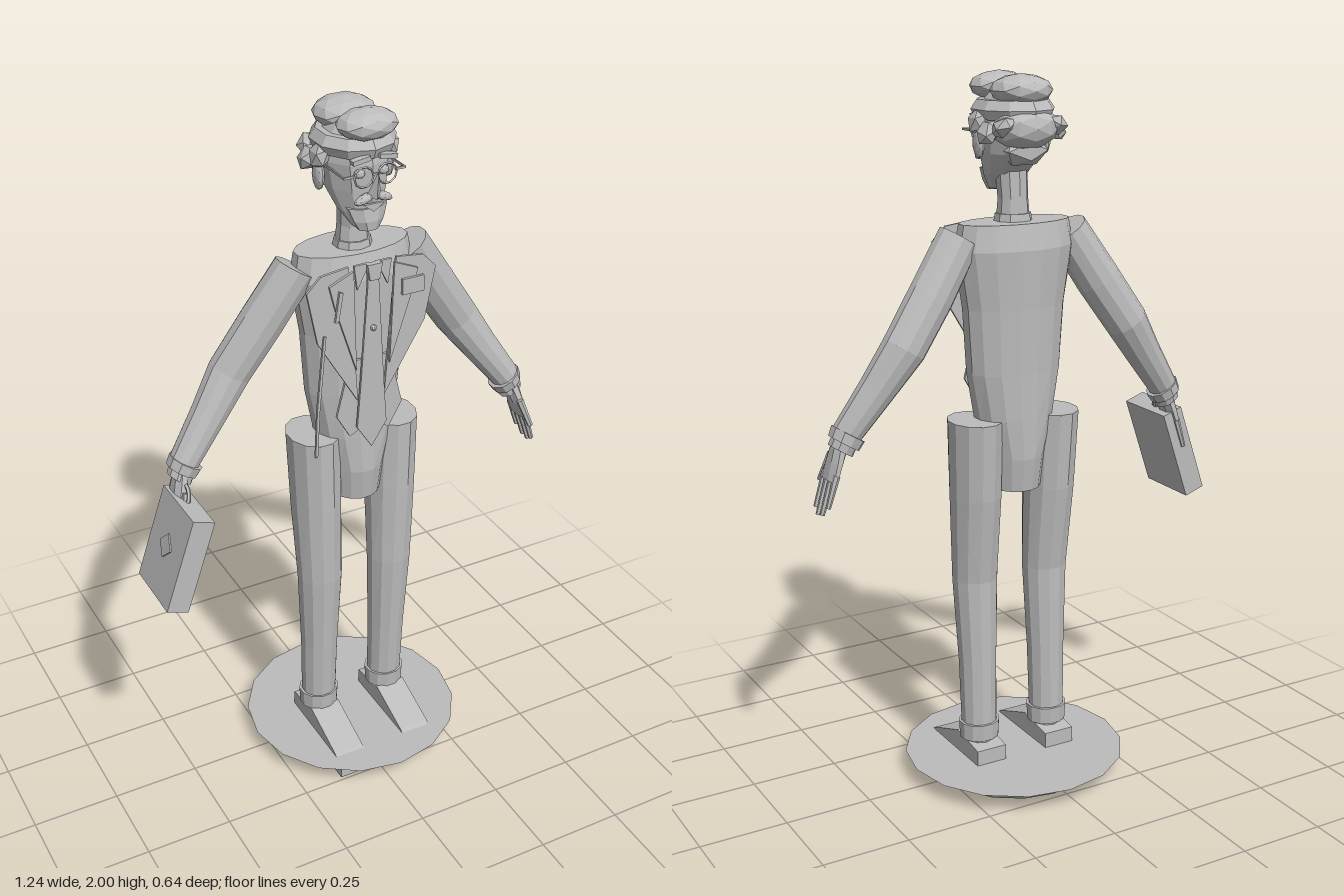
import * as THREE from 'three';

const CX = 0.03; // the figure's own centre line

export function createModel() {
  const root = new THREE.Group();
  const grey = new THREE.MeshStandardMaterial({ color: 0xbcbcbc, flatShading: true });

  function add(name, geo, parent = root, x = 0, y = 0, z = 0) {
    const m = new THREE.Mesh(geo, grey);
    m.name = name;
    m.position.set(x, y, z);
    parent.add(m);
    return m;
  }

  // Closed solid through elliptical rings [x, y, z, rx, rz], listed bottom to top
  function loft(rings, n, tilt = 0) {
    const pos = [], idx = [], c = Math.cos(tilt), s = Math.sin(tilt);
    for (const [x, y, z, rx, rz] of rings) {
      for (let i = 0; i < n; i++) {
        const a = ((i + 0.5) / n) * Math.PI * 2, u = Math.cos(a) * rx;
        pos.push(x + u * c, y + u * s, z + Math.sin(a) * rz);
      }
    }
    const top = (rings.length - 1) * n, cb = rings.length * n;
    pos.push(...rings[0].slice(0, 3), ...rings[rings.length - 1].slice(0, 3));
    for (let i = 0; i < n; i++) {
      const j = (i + 1) % n;
      for (let r = 0; r < top; r += n) idx.push(r + i, r + n + i, r + j, r + n + i, r + n + j, r + j);
      idx.push(cb, i, j, cb + 1, top + j, top + i);
    }
    const g = new THREE.BufferGeometry();
    g.setAttribute('position', new THREE.Float32BufferAttribute(pos, 3));
    g.setIndex(idx);
    g.computeVertexNormals();
    return g;
  }

  // Thin plate facing front; points are relative to the centre line, s mirrors them
  function plate(name, pts, z, s = 1, depth = 0.008) {
    const shape = new THREE.Shape(pts.map(([x, y]) => new THREE.Vector2(CX + s * x, y)));
    return add(name, new THREE.ExtrudeGeometry(shape, { depth, bevelEnabled: false }), root, 0, 0, z);
  }

  function blob(name, x, y, z, rx, ry, rz, detail = 1) {
    const m = add(name, new THREE.IcosahedronGeometry(1, detail), root, CX + x, y, z);
    m.scale.set(rx, ry, rz);
    return m;
  }

  // Base dish
  add('base', new THREE.LatheGeometry([[0, 0], [0.23, 0], [0.25, 0.02], [0.32, 0.055], [0, 0.055]]
    .map(p => new THREE.Vector2(...p)), 16), root, CX);

  // Torso, neck
  add('torso', loft([
    [CX, 0.865, 0.005, 0.075, 0.085], [CX, 0.96, 0.005, 0.085, 0.098], [CX, 1.07, 0.003, 0.115, 0.095],
    [CX, 1.2, 0, 0.14, 0.09], [CX, 1.38, -0.002, 0.152, 0.092], [CX, 1.54, -0.005, 0.178, 0.097],
    [CX, 1.61, -0.007, 0.165, 0.08]], 16));
  add('neck', loft([[CX, 1.58, 0, 0.05, 0.045], [CX, 1.67, 0, 0.042, 0.04], [CX, 1.76, 0.01, 0.045, 0.045]], 10));
  add('collar', loft([[CX, 1.6, 0, 0.055, 0.052], [CX, 1.63, 0, 0.05, 0.047]], 10));

  const shoeShape = new THREE.Shape([[-0.07, 0], [0.24, 0], [0.24, 0.03], [0.2, 0.062], [0.05, 0.118], [-0.07, 0.1]]
    .map(p => new THREE.Vector2(...p)));
  const sleeveTilt = 0.56;

  for (const s of [-1, 1]) {
    const side = s > 0 ? 'left' : 'right';
    const X = d => CX + s * d;

    // Leg, turn-up, sock and shoe
    add(side + 'Leg', loft([[X(0.113), 0.14, 0.005, 0.052, 0.05], [X(0.113), 0.35, 0.012, 0.055, 0.056],
      [X(0.114), 0.6, 0.022, 0.066, 0.063], [X(0.118), 0.85, 0.008, 0.072, 0.082],
      [X(0.122), 1.07, 0, 0.074, 0.09]], 12));
    add(side + 'Cuff', loft([[X(0.113), 0.115, 0.005, 0.058, 0.054], [X(0.113), 0.165, 0.005, 0.06, 0.057]], 12));
    add(side + 'Sock', new THREE.CylinderGeometry(0.043, 0.043, 0.06, 10), root, X(0.113), 0.1, 0.005);
    const shoe = new THREE.ExtrudeGeometry(shoeShape, { depth: 0.092, bevelEnabled: false });
    shoe.rotateY(-Math.PI / 2);
    add(side + 'Shoe', shoe, root, X(0.113) + 0.046, 0, 0);

    // Sleeve, wrist bands
    const t = s * sleeveTilt;
    add(side + 'Sleeve', loft([[X(0.508), 1.08, 0, 0.042, 0.04], [X(0.42), 1.2, -0.018, 0.052, 0.047],
      [X(0.35), 1.3, -0.033, 0.062, 0.054], [X(0.26), 1.43, -0.02, 0.064, 0.056],
      [X(0.165), 1.575, -0.002, 0.06, 0.057]], 12, t));
    add(side + 'WristBand', loft([[X(0.514), 1.06, 0, 0.046, 0.045], [X(0.5), 1.085, 0, 0.05, 0.048]], 10, t));
    add(side + 'ShirtCuff', loft([[X(0.523), 1.04, 0.003, 0.037, 0.037], [X(0.512), 1.065, 0, 0.037, 0.038]], 10, t));

    // Hand with four fingers and a thumb
    const hand = new THREE.Group();
    hand.name = side + 'Hand';
    hand.position.set(X(0.52), 1.055, 0.01);
    hand.rotation.z = s * 0.31;
    root.add(hand);
    add('palm', loft([[0, -0.1, 0.008, 0.014, 0.046], [0, -0.05, 0.006, 0.018, 0.042], [0, 0.01, 0, 0.022, 0.028]], 8), hand);
    [0.17, 0.195, 0.2, 0.185].forEach((len, i) => {
      const finger = new THREE.CylinderGeometry(0.01, 0.007, len - 0.08, 6);
      add('finger', finger, hand, 0, -(len + 0.08) / 2, -0.028 + i * 0.024);
    });
    const thumb = add('thumb', new THREE.CylinderGeometry(0.011, 0.008, 0.085, 6), hand, -s * 0.005, -0.075, 0.06);
    thumb.rotation.x = -0.3;

    // Lapels
    plate(side + 'Lapel', [[0.07, 1.6], [0.15, 1.59], [0.19, 1.55], [0.16, 1.4], [0.04, 1.2], [0.055, 1.4]], 0.104, s);
    plate(side + 'LapelNotch', [[0.06, 1.59], [0.13, 1.56], [0.115, 1.5], [0.05, 1.3]], 0.114, s);
    plate(side + 'WaistcoatPoint', [[0, 1.32], [0.06, 1.32], [0.1, 1.16], [0.06, 1.09], [0, 1.12]], 0.096, s);
    plate(side + 'ShirtCollar', [[0.01, 1.6], [0.055, 1.6], [0.045, 1.53]], 0.106, s);

    // Ears, spectacles, brows
    blob(side + 'Ear', s * 0.1, 1.82, 0.005, 0.014, 0.042, 0.025);
    blob(side + 'Eye', s * 0.034, 1.842, 0.1, 0.015, 0.012, 0.012);
    add(side + 'LensRim', new THREE.TorusGeometry(0.027, 0.003, 4, 10), root, X(0.033), 1.84, 0.122);
    add(side + 'SpectacleArm', new THREE.BoxGeometry(0.004, 0.006, 0.11), root, X(0.086), 1.845, 0.06);
    add(side + 'SpectacleHinge', new THREE.BoxGeometry(0.03, 0.006, 0.005), root, X(0.073), 1.845, 0.117);
    add(side + 'Brow', new THREE.BoxGeometry(0.05, 0.012, 0.02), root, X(0.038), 1.883, 0.112).rotation.z = -s * 0.15;
    const whisker = blob(side + 'Moustache', s * 0.026, 1.778, 0.112, 0.03, 0.012, 0.014);
    whisker.rotation.z = -s * 0.35;

    // Side hair tufts
    [[0.098, 1.875, 0.01], [0.1, 1.85, -0.045], [0.075, 1.865, -0.085]].forEach(([x, y, z], i) => {
      const tuft = blob(side + 'HairTuft', s * x, y, z, 0.026, 0.04, 0.038, 0);
      tuft.rotation.set(i * 0.8, s * i * 0.6, s * 0.4);
    });
  }

  // Tie, pocket patch, pen, button and hanging strap
  plate('tie', [[-0.02, 1.6], [0.02, 1.6], [0.016, 1.55], [0.035, 1.25], [0.045, 1.12], [0, 1.05],
    [-0.045, 1.12], [-0.035, 1.25], [-0.016, 1.55]], 0.11);
  plate('tieKnot', [[-0.022, 1.6], [0.022, 1.6], [0.014, 1.555], [-0.014, 1.555]], 0.118);
  plate('pocketPatch', [[0.08, 1.495], [0.145, 1.495], [0.145, 1.54], [0.08, 1.54]], 0.123);
  plate('pen', [[-0.118, 1.46], [-0.108, 1.46], [-0.095, 1.54], [-0.105, 1.545]], 0.123);
  add('button', new THREE.SphereGeometry(0.009, 8, 6), root, CX, 1.415, 0.12);
  plate('strap', [[-0.145, 1.42], [-0.138, 1.42], [-0.158, 1.2], [-0.165, 1.06], [-0.172, 1.06], [-0.166, 1.2]], 0.11);

  // Head, nose, mouth and beard
  add('head', loft([[CX, 1.69, 0.065, 0.035, 0.03], [CX, 1.73, 0.04, 0.06, 0.062], [CX, 1.79, 0.01, 0.082, 0.097],
    [CX, 1.86, 0, 0.092, 0.108], [CX, 1.92, 0, 0.085, 0.095], [CX, 1.96, 0, 0.05, 0.06]], 10));
  const nose = add('nose', new THREE.ConeGeometry(0.021, 0.075, 4), root, CX, 1.82, 0.125);
  nose.rotation.x = 0.35;
  add('spectacleBridge', new THREE.BoxGeometry(0.02, 0.005, 0.005), root, CX, 1.845, 0.124);
  plate('mouth', [[-0.03, 1.762], [0.03, 1.762], [0, 1.74]], 0.108);
  add('beard', loft([[CX, 1.685, 0.085, 0.03, 0.022], [CX, 1.71, 0.08, 0.046, 0.03], [CX, 1.745, 0.07, 0.06, 0.036]], 8));

  // Hair: front quiff, crown, fringe and back
  blob('frontQuiff', 0, 1.96, 0.075, 0.084, 0.04, 0.064);
  blob('crown', 0, 1.955, -0.045, 0.085, 0.042, 0.08);
  add('hairBand', loft([[CX, 1.88, 0, 0.1, 0.112], [CX, 1.905, 0, 0.112, 0.122], [CX, 1.93, 0, 0.095, 0.105]], 10));
  blob('backHair', 0, 1.86, -0.065, 0.095, 0.06, 0.07);
  blob('napeHair', 0, 1.8, -0.06, 0.07, 0.045, 0.045, 0);

  // Briefcase in the right hand
  const bag = new THREE.Group();
  bag.name = 'briefcase';
  bag.position.set(-0.545, 0.875, 0.083);
  bag.rotation.z = -0.33;
  root.add(bag);
  add('case', new THREE.BoxGeometry(0.064, 0.275, 0.2), bag);
  const badge = add('plainDiamond', new THREE.BoxGeometry(0.006, 0.05, 0.05), bag, -0.033, 0.01, 0);
  badge.rotation.x = Math.PI / 4;
  const handle = add('handle', new THREE.TorusGeometry(0.035, 0.006, 5, 8, Math.PI), bag, 0, 0.135, -0.04);
  handle.rotation.y = Math.PI / 2;

  return root;
}
